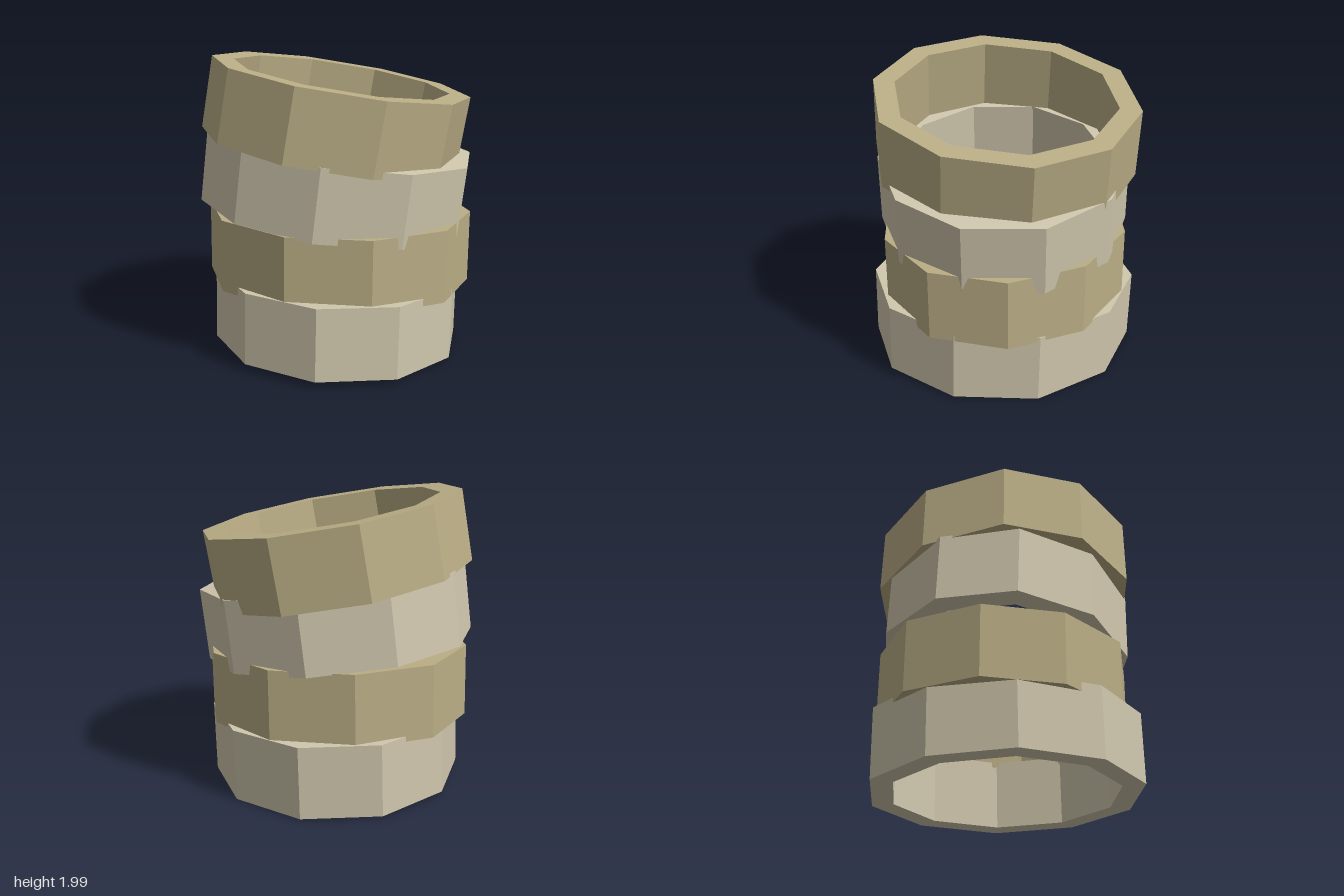
import * as THREE from 'three';

const HEIGHT = 0.485; // height of each ring along its own axis
const BORE = 0.835;   // inner outline relative to the outer one
const DARK = 0xbbae86;
const LIGHT = 0xd0c7ad;

// base: centre of the underside; slope: fall of the ring's plane per unit of x and z;
// half: five corners (x, z) from the base centre, the other five lie opposite them
const RINGS = [
  { name: 'bottomRing', color: LIGHT, base: [-0.01, 0.028, 0.005], slope: [0.027, 0],
    half: [[0.851, -0.167], [0.755, 0.39], [0.363, 0.788], [-0.162, 0.895], [-0.63, 0.655]] },
  { name: 'lowerMiddleRing', color: DARK, base: [0, 0.47, 0], slope: [0.007, 0.011],
    half: [[0.86, 0.1], [0.673, 0.6], [0.227, 0.876], [-0.303, 0.8], [-0.722, 0.437]] },
  { name: 'upperMiddleRing', color: LIGHT, base: [-0.025, 0.93, -0.02], slope: [0.085, 0.085],
    half: [[0.855, -0.13], [0.805, 0.405], [0.445, 0.78], [-0.075, 0.86], [-0.585, 0.61]] },
  { name: 'topRing', color: DARK, base: [-0.037, 1.372, -0.03], slope: [0.14, 0.095],
    half: [[0.893, -0.035], [0.735, 0.462], [0.28, 0.797], [-0.265, 0.83], [-0.722, 0.525]] },
];

// Ten-sided hollow ring, tilted so its faces follow the given slope
function ringGeometry({ base, slope, half }) {
  const corners = [...half, ...half.map(([x, z]) => [-x, -z])];
  const axis = new THREE.Vector3(slope[0], 1, slope[1]).normalize();
  const centre = new THREE.Vector3(...base);
  const positions = [];
  const index = [];

  // Cross-section at each corner: outer bottom, outer top, inner top, inner bottom
  const section = [[1, 0], [1, HEIGHT], [BORE, HEIGHT], [BORE, 0]];
  for (const [x, z] of corners) {
    for (const [scale, lift] of section) {
      const p = new THREE.Vector3(x, -slope[0] * x - slope[1] * z, z)
        .multiplyScalar(scale).add(centre).addScaledVector(axis, lift);
      positions.push(p.x, p.y, p.z);
    }
  }

  // Join neighbouring sections with quads
  const n = corners.length;
  for (let i = 0; i < n; i++) {
    const next = (i + 1) % n;
    for (let k = 0; k < 4; k++) {
      const k2 = (k + 1) % 4;
      const a = i * 4 + k, b = i * 4 + k2, c = next * 4 + k2, d = next * 4 + k;
      index.push(a, b, c, a, c, d);
    }
  }

  const indexed = new THREE.BufferGeometry();
  indexed.setAttribute('position', new THREE.Float32BufferAttribute(positions, 3));
  indexed.setIndex(index);
  const geometry = indexed.toNonIndexed();
  geometry.computeVertexNormals();
  return geometry;
}

export function createModel() {
  const group = new THREE.Group();
  group.name = 'ringStack';
  for (const ring of RINGS) {
    const material = new THREE.MeshStandardMaterial({ color: ring.color, flatShading: true });
    const mesh = new THREE.Mesh(ringGeometry(ring), material);
    mesh.name = ring.name;
    group.add(mesh);
  }
  return group;
}
